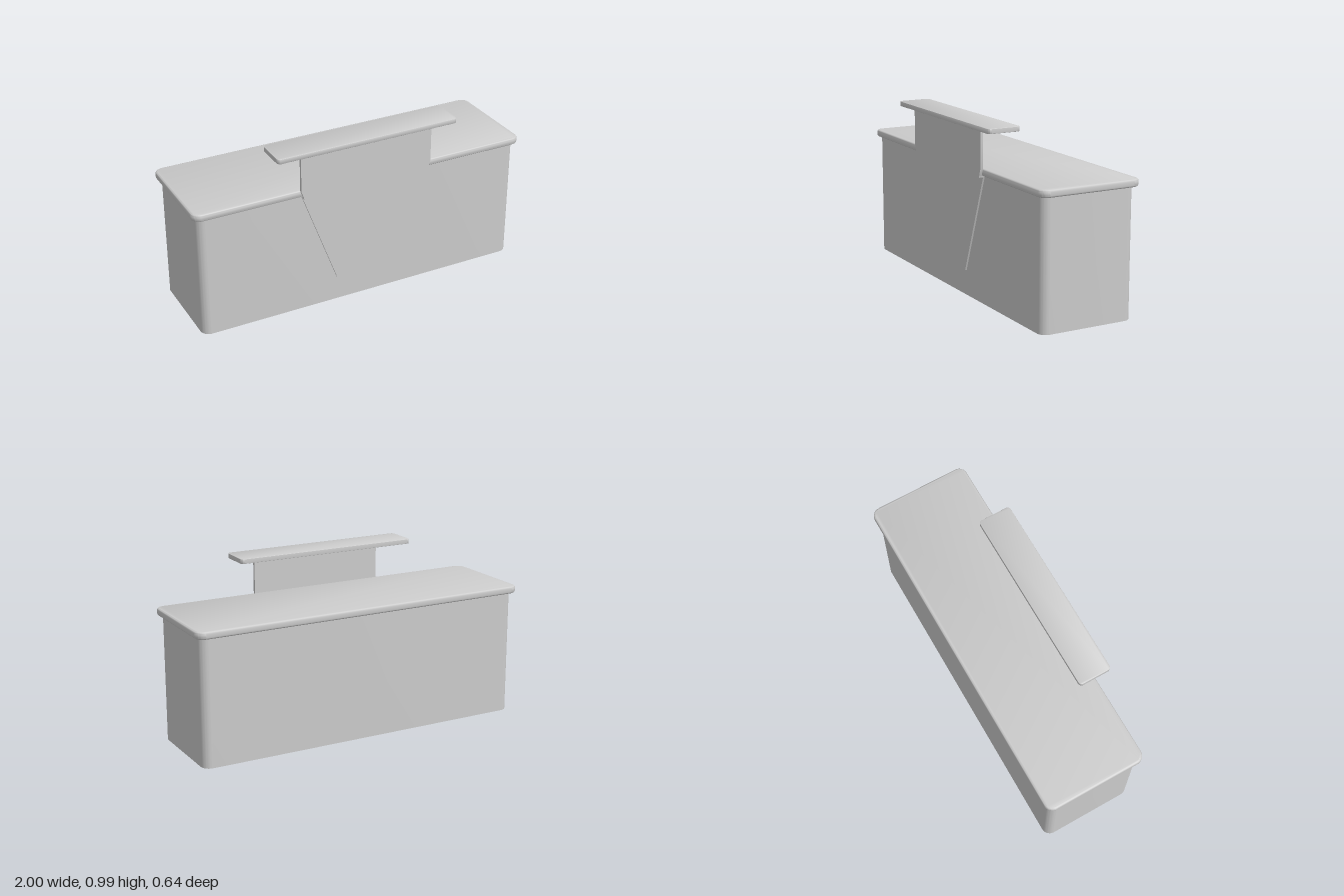
import * as THREE from 'three';
import { toCreasedNormals } from 'three/addons/utils/BufferGeometryUtils.js';

const material = new THREE.MeshStandardMaterial({ color: 0xcccccc });

function addMesh(group, name, geometry) {
  const mesh = new THREE.Mesh(toCreasedNormals(geometry, 0.7), material);
  mesh.name = name;
  group.add(mesh);
}

// Horizontal slab with rounded corners, spanning y0..y1 and z0..z1
function roundedSlab(halfX, z0, z1, y0, y1, radius, bevel = 0) {
  const w = halfX - bevel, d = (z1 - z0) / 2 - bevel, r = radius - bevel;
  const s = new THREE.Shape();
  s.absarc(w - r, d - r, r, 0, Math.PI / 2);
  s.absarc(-w + r, d - r, r, Math.PI / 2, Math.PI);
  s.absarc(-w + r, -d + r, r, Math.PI, Math.PI * 1.5);
  s.absarc(w - r, -d + r, r, Math.PI * 1.5, Math.PI * 2);
  s.closePath();
  const g = new THREE.ExtrudeGeometry(s, {
    depth: y1 - y0 - 2 * bevel, curveSegments: 8,
    bevelEnabled: bevel > 0, bevelSize: bevel, bevelThickness: bevel, bevelSegments: 4,
  });
  g.rotateX(-Math.PI / 2);
  return g.translate(0, y0 + bevel, (z0 + z1) / 2);
}

// Upright plate from a mirrored half outline, spanning z0..z1
function uprightPlate(half, z0, z1) {
  const right = half.map(([x, y]) => new THREE.Vector2(x, y));
  const left = half.map(([x, y]) => new THREE.Vector2(-x, y)).reverse();
  const g = new THREE.ExtrudeGeometry(new THREE.Shape([...right, ...left]), { depth: z1 - z0, bevelEnabled: false });
  return g.translate(0, 0, z0);
}

export function createModel() {
  const model = new THREE.Group();
  model.name = 'lidded tank';

  // Tank and its overhanging lid
  addMesh(model, 'tankBody', roundedSlab(0.975, -0.295, 0.255, 0, 0.72, 0.05));
  addMesh(model, 'lid', roundedSlab(1, -0.32, 0.275, 0.713, 0.755, 0.05, 0.013));

  // Tapered panel on the front wall
  addMesh(model, 'taperedPanel', uprightPlate([[0.17, 0.143], [0.38, 0.71]], 0.25, 0.265));

  // Upright bracket stepping out over the lid edge
  addMesh(model, 'bracketPlate', uprightPlate([[0.38, 0.713], [0.395, 0.755], [0.395, 0.97]], 0.274, 0.29));
  addMesh(model, 'bracketStep', uprightPlate([[0.379, 0.706], [0.38, 0.713]], 0.25, 0.29));

  // Narrow shelf on top of the bracket
  addMesh(model, 'shelf', roundedSlab(0.54, 0.13, 0.32, 0.966, 0.993, 0.02, 0.002));

  return model;
}
